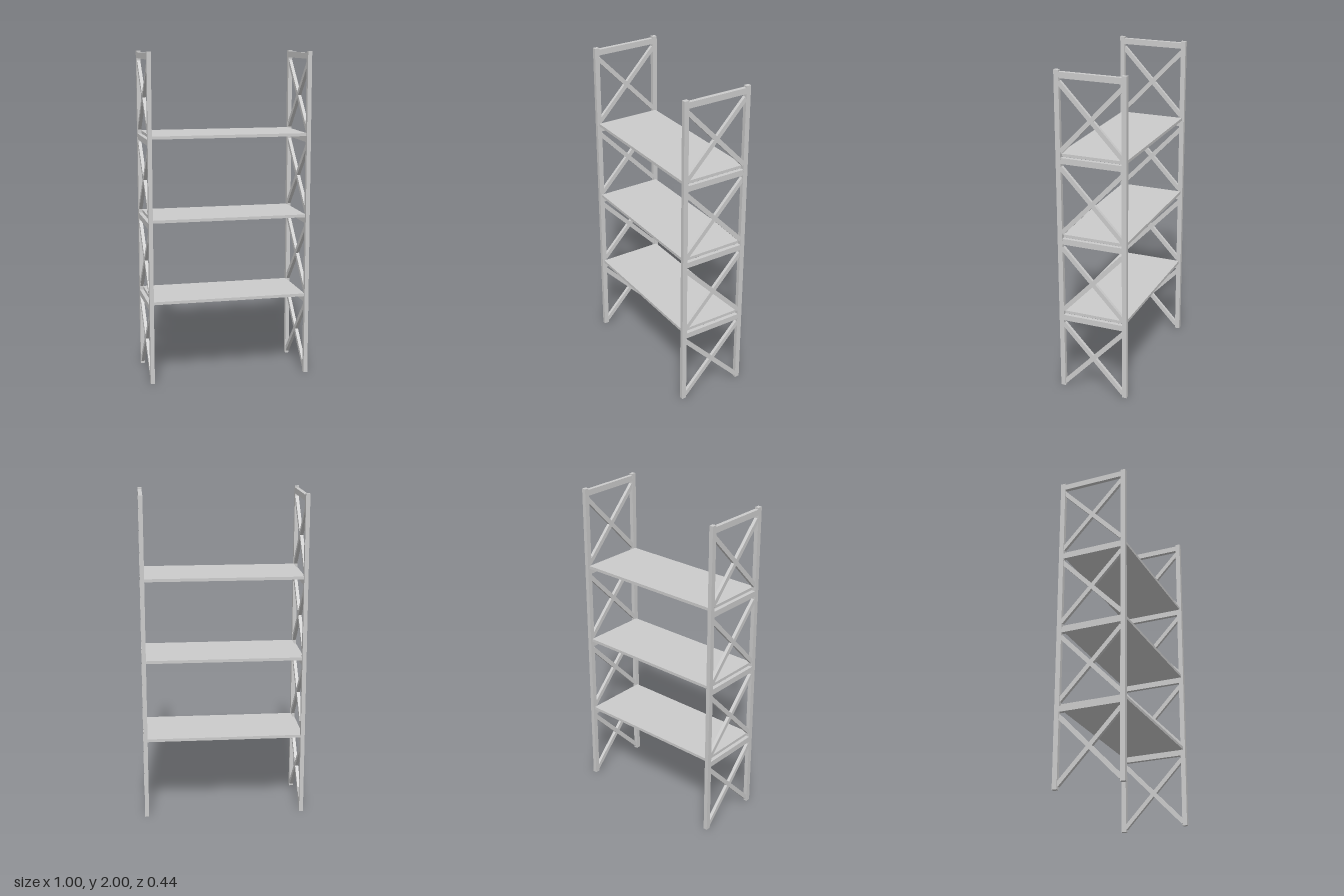
import * as THREE from 'three';

const material = new THREE.MeshStandardMaterial({ color: 0xcccccc, flatShading: true });

function addBox(parent, name, size, position, tilt = 0) {
  const mesh = new THREE.Mesh(new THREE.BoxGeometry(...size), material);
  mesh.name = name;
  mesh.position.set(...position);
  mesh.rotation.x = tilt;
  parent.add(mesh);
}

// Ladder-like end frame: two posts, four rails and a cross brace in each bay
function endFrame(name, x) {
  const frame = new THREE.Group();
  frame.name = name;
  frame.position.x = x;

  for (const z of [-0.204, 0.204]) addBox(frame, 'post', [0.025, 2, 0.03], [0, 1, z]);

  const rise = 0.2, run = 0.19;
  const angle = Math.atan2(rise, run);
  const length = 2 * Math.hypot(rise, run) + 0.01;
  for (let i = 0; i < 4; i++) {
    const base = i * 0.5;
    addBox(frame, 'rail', [0.024, 0.036, 0.38], [0, base + 0.472, 0]);
    for (const s of [-1, 1]) {
      addBox(frame, 'crossBrace', [0.02, 0.027, length], [0, base + 0.227, 0], s * angle);
    }
  }
  return frame;
}

export function createModel() {
  const model = new THREE.Group();
  model.name = 'shelvingUnit';

  model.add(endFrame('leftFrame', 0.486), endFrame('rightFrame', -0.486));

  // Shelves spanning between the end frames
  for (const y of [0.5, 1, 1.5]) addBox(model, 'shelf', [0.95, 0.018, 0.412], [0, y, 0]);

  return model;
}
